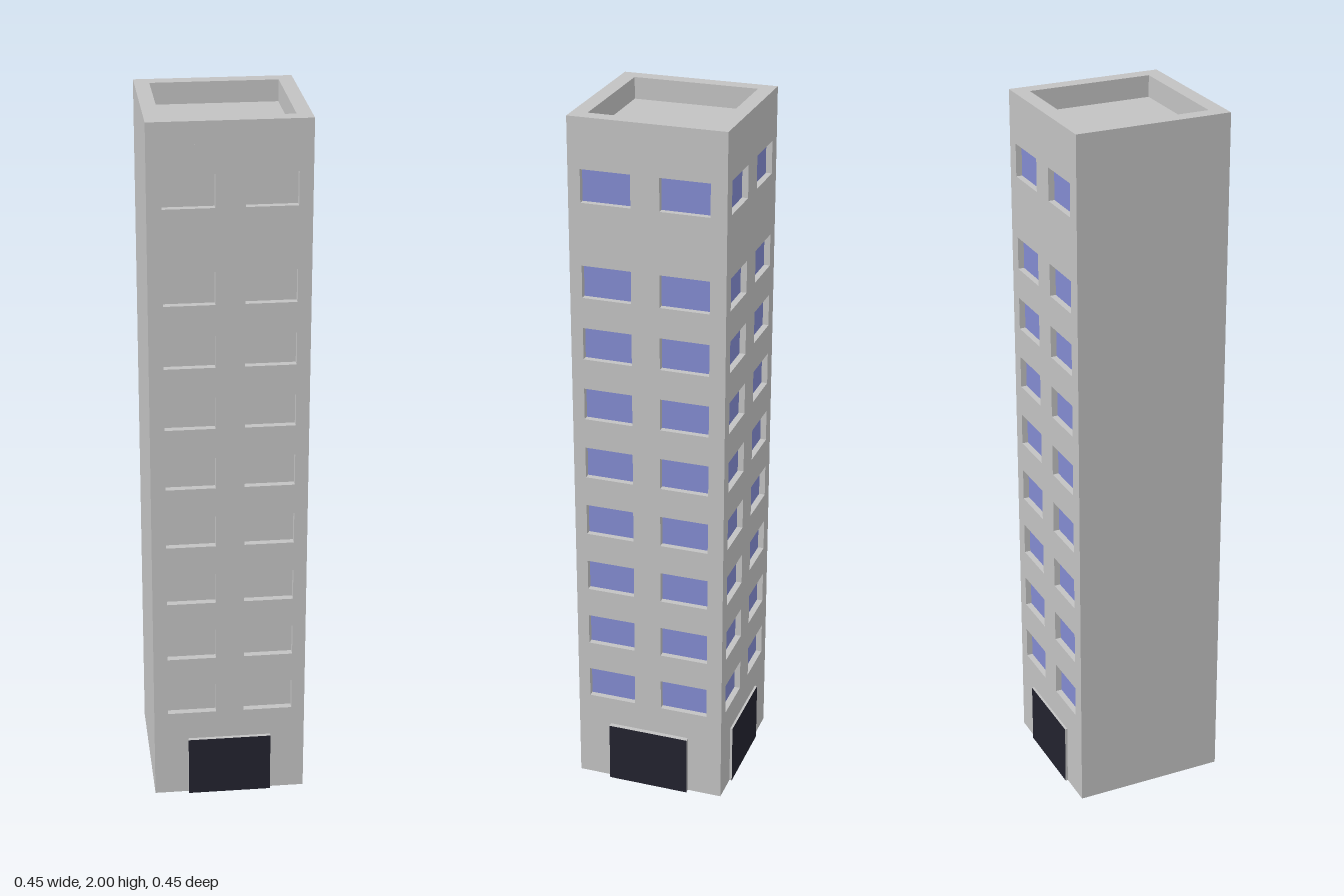
import * as THREE from 'three';

export function createModel() {
  const model = new THREE.Group();
  model.name = 'towerBlock';

  const concrete = new THREE.MeshStandardMaterial({ color: 0xc2c2c2 });
  concrete.name = 'concrete grey';
  const glass = new THREE.MeshStandardMaterial({ color: 0x828bd0 });
  glass.name = 'window blue';
  const dark = new THREE.MeshStandardMaterial({ color: 0x22222e });
  dark.name = 'door black';

  // body limits
  const X0 = -0.223, X1 = 0.209, Z0 = -0.219, Z1 = 0.215;
  const CX = (X0 + X1) / 2, CZ = (Z0 + Z1) / 2;
  const W = X1 - X0, D = Z1 - Z0;
  const T = 0.02;          // window recess depth
  const ROOF = 1.94, TOP = 2;
  const WIN_H = 0.091;
  const sills = [];
  for (let i = 0; i < 8; i++) sills.push(0.265 + i * 0.1772);
  sills.push(1.77);

  function add(parent, name, geometry, material, x, y, z) {
    const mesh = new THREE.Mesh(geometry, material);
    mesh.name = name;
    mesh.position.set(x, y, z);
    parent.add(mesh);
    return mesh;
  }

  function rect(Type, x0, y0, x1, y1) {
    const pts = [[x0, y0], [x1, y0], [x1, y1], [x0, y1]];
    return new Type(pts.map(([x, y]) => new THREE.Vector2(x, y)));
  }

  // solid core behind the recessed windows; the left side stays blank
  add(model, 'core', new THREE.BoxGeometry(W - T, ROOF, D - 2 * T), concrete,
    CX - T / 2, ROOF / 2, CZ);

  // a wall facing local +z, with window openings, optional panes and a door
  function addWall(name, width, columns, doorSpan, doorDepth, glazed) {
    const wall = new THREE.Group();
    wall.name = name;
    const shape = rect(THREE.Shape, -width / 2, 0, width / 2, ROOF);
    for (const y of sills) {
      for (const [a, b] of columns) {
        shape.holes.push(rect(THREE.Path, a, y, b, y + WIN_H));
        if (glazed) {
          add(wall, 'windowPane', new THREE.BoxGeometry(b - a, WIN_H, 0.003), glass,
            (a + b) / 2, y + WIN_H / 2, 0.0015);
        }
      }
    }
    add(wall, name + 'Panel',
      new THREE.ExtrudeGeometry(shape, { depth: T, bevelEnabled: false }), concrete, 0, 0, 0);
    // door slab: concrete edges, dark face
    const [d0, d1] = doorSpan;
    add(wall, 'door', new THREE.BoxGeometry(d1 - d0, 0.18, doorDepth),
      [concrete, concrete, concrete, concrete, dark, concrete],
      (d0 + d1) / 2, 0.09, T + doorDepth / 2);
    model.add(wall);
    return wall;
  }

  const front = addWall('frontWall', W, [[-0.176, -0.038], [0.041, 0.179]],
    [-0.119, 0.118], 0.011, false);
  front.position.set(CX, 0, Z1 - T);

  const back = addWall('backWall', W, [[-0.178, -0.039], [0.038, 0.176]],
    [-0.129, 0.115], 0.007, true);
  back.rotation.y = Math.PI;
  back.position.set(CX, 0, Z0 + T);

  const right = addWall('sideWall', D - 2 * T, [[-0.183, -0.045], [0.034, 0.172]],
    [-0.12, 0.117], 0.014, true);
  right.rotation.y = Math.PI / 2;
  right.position.set(X1 - T, 0, CZ);

  // parapet ring around the sunken roof
  const ring = rect(THREE.Shape, -W / 2, -D / 2, W / 2, D / 2);
  ring.holes.push(rect(THREE.Path, -0.175, -0.174, 0.175, 0.174));
  const parapet = add(model, 'parapet',
    new THREE.ExtrudeGeometry(ring, { depth: TOP - ROOF, bevelEnabled: false }),
    concrete, CX, ROOF, CZ);
  parapet.rotation.x = -Math.PI / 2;

  return model;
}
